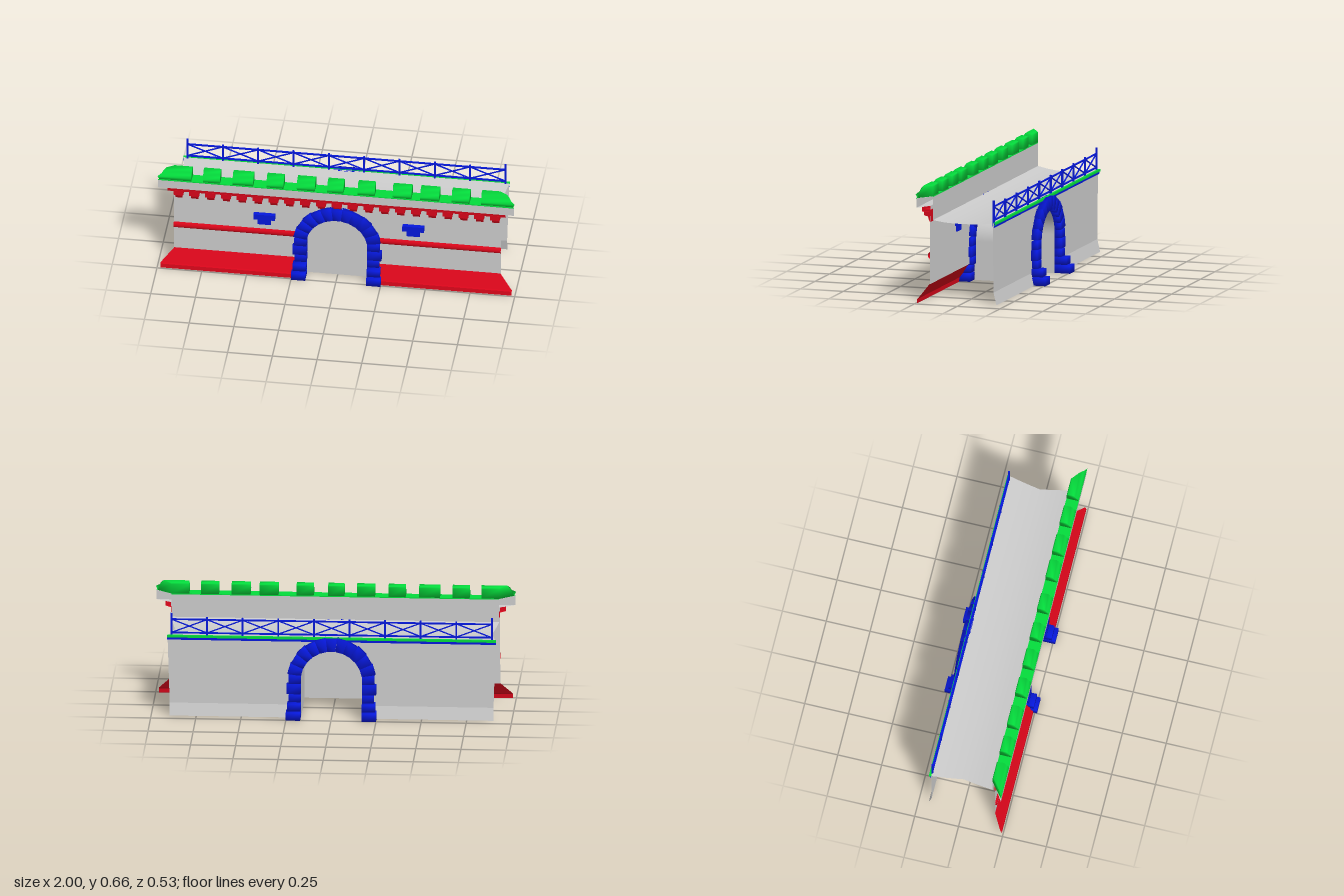
import * as THREE from 'three';
import { mergeVertices } from 'three/addons/utils/BufferGeometryUtils.js';

const mat = (color) => new THREE.MeshStandardMaterial({ color, side: THREE.DoubleSide });
const GREY = mat(0xcccccc), RED = mat(0xd8061a), BLUE = mat(0x0618dc), GREEN = mat(0x04dc3c);

// Half length of the wall at depth z: both ends are mitred
const endX = (z) => (z > 0.187 ? 0.915 + (z - 0.187) * 1.5 : 0.88 + Math.abs(z) * 0.17);
const ARCH_Y = 0.218;

// Shared normals across all edges give blocks a cushioned look
const soften = (geometry) => {
  geometry.deleteAttribute('normal');
  geometry.deleteAttribute('uv');
  const g = mergeVertices(geometry);
  g.computeVertexNormals();
  return g;
};

export function createModel() {
  const model = new THREE.Group();

  const add = (name, geometry, material, parent = model) => {
    const mesh = new THREE.Mesh(geometry, material);
    mesh.name = name;
    parent.add(mesh);
    return mesh;
  };

  const box = (name, material, x0, x1, y0, y1, z0, z1) => {
    const mesh = add(name, new THREE.BoxGeometry(x1 - x0, y1 - y0, z1 - z0), material);
    mesh.position.set((x0 + x1) / 2, (y0 + y1) / 2, (z0 + z1) / 2);
  };

  // Open surface through rows of [x, y, z] points
  const sheet = (name, material, rows, smooth = false) => {
    const n = rows[0].length, index = [];
    for (let i = 0; i < rows.length - 1; i++) {
      for (let j = 0; j < n - 1; j++) {
        const a = i * n + j, b = a + n;
        index.push(a, b, a + 1, b, b + 1, a + 1);
      }
    }
    let g = new THREE.BufferGeometry();
    g.setAttribute('position', new THREE.Float32BufferAttribute(rows.flat(2), 3));
    g.setIndex(index);
    if (!smooth) g = g.toNonIndexed();
    g.computeVertexNormals();
    add(name, g, material);
  };

  // Moulding from a [z, y] profile along x to the mitred ends, no longer than limit
  const fullRun = (name, material, profile, limit = 1, smooth = false) =>
    sheet(name, material, profile.map(([z, y]) => {
      const e = Math.min(endX(z), limit);
      return [[-e, y, z], [e, y, z]];
    }), smooth);
  // The same, interrupted by the gate
  const splitRun = (name, material, profile, limit = 1, smooth = false) => {
    for (const s of [-1, 1]) {
      sheet(name, material, profile.map(([z, y]) =>
        [[s * 0.2, y, z], [s * Math.min(endX(z), limit), y, z]]), smooth);
    }
  };

  // Arched outline, used for the tunnel and the doors
  const archPath = (path, r, y0) => {
    path.lineTo(r, y0);
    path.lineTo(r, ARCH_Y);
    path.absarc(0, ARCH_Y, r, 0, Math.PI, false);
    path.lineTo(-r, y0);
    return path;
  };
  const wall = (name, z, y0, y1, bottomX) => {
    const e = endX(z), shape = new THREE.Shape();
    shape.moveTo(bottomX, y0);
    shape.lineTo(e, y1);
    shape.lineTo(-e, y1);
    shape.lineTo(-bottomX, y0);
    shape.lineTo(-0.18, y0);
    shape.lineTo(-0.18, ARCH_Y);
    shape.absarc(0, ARCH_Y, 0.18, Math.PI, 0, true);
    shape.lineTo(0.18, y0);
    add(name, new THREE.ShapeGeometry(shape, 24), GREY).position.z = z;
  };

  // Walls, flared feet and walkway
  wall('frontWall', 0.187, 0.1, 0.54, 0.915);
  wall('backWall', -0.178, 0.07, 0.46, 0.898);
  splitRun('frontPlinth', RED, [[0.187, 0.105], [0.234, 0.03], [0.24, 0.024], [0.242, 0]], 0.982);
  splitRun('backFoot', GREY, [[-0.178, 0.07], [-0.195, 0]], 0.898);
  fullRun('walkway', GREY, [[0.172, 0.46], [0.11, 0.449], [0.05, 0.444], [0, 0.443],
    [-0.06, 0.445], [-0.12, 0.451], [-0.178, 0.46]], 1, true);

  // Tunnel lining
  const outline = archPath(new THREE.Path().moveTo(0.17, 0), 0.17, 0).getPoints(24);
  sheet('tunnel', GREY, [0.175, -0.175].map((z) => outline.map((p) => [p.x, p.y, z])), true);

  // String course beside the gate
  const half = Array.from({ length: 9 }, (_, i) => {
    const a = Math.PI * (i / 8 - 0.5);
    return [0.187 + 0.013 * Math.cos(a), 0.262 + 0.018 * Math.sin(a)];
  });
  splitRun('stringCourse', RED, half, 0.915, true);

  // Parapet with a green coping
  fullRun('parapet', GREY, [[0.172, 0.46], [0.172, 0.593], [0.24, 0.593], [0.24, 0.54], [0.187, 0.54]]);
  fullRun('coping', GREEN, [[0.171, 0.59], [0.171, 0.595], [0.241, 0.595], [0.241, 0.59]]);

  // Solid made from a [z, y] profile, extruded from x0 to x1
  const solid = (profile, x0, x1) => {
    const shape = new THREE.Shape(profile.map(([z, y]) => new THREE.Vector2(-z, y)));
    const g = new THREE.ExtrudeGeometry(shape, { depth: x1 - x0, bevelEnabled: false });
    return g.rotateY(Math.PI / 2).translate(x0, 0, 0);
  };

  // Merlons; the outermost ones follow the mitre
  const merlonProfile = [[0.172, 0.594], [0.236, 0.594], [0.243, 0.617], [0.228, 0.63],
    [0.222, 0.646], [0.212, 0.66], [0.178, 0.655], [0.172, 0.648]];
  const merlons = [[-0.05, 0.04], [0.12, 0.215], [0.315, 0.42], [0.47, 0.575], [0.645, 0.745], [0.81, 1],
    [-0.22, -0.12], [-0.39, -0.295], [-0.58, -0.465], [-0.745, -0.65], [-1, -0.81]];
  for (const [x0, x1] of merlons) {
    const g = solid(merlonProfile, x0, x1), p = g.attributes.position;
    for (let i = 0; i < p.count; i++) {
      if (Math.abs(p.getX(i)) > 0.95) p.setX(i, Math.sign(p.getX(i)) * endX(p.getZ(i)));
    }
    add('merlon', soften(g), GREEN);
  }

  // Corbel table under the parapet: wide heads on narrower feet
  fullRun('corbelBand', RED, [[0.187, 0.51], [0.222, 0.51], [0.226, 0.54]], 0.945);
  const headProfile = [[0.183, 0.518], [0.183, 0.485], [0.206, 0.48], [0.225, 0.487], [0.225, 0.518]];
  const footProfile = [[0.183, 0.49], [0.183, 0.45], [0.19, 0.447], [0.199, 0.464], [0.205, 0.49]];
  for (let i = 0; i < 21; i++) {
    const x = (i - 10) * 0.0885;
    add('corbelHead', solid(headProfile, x - 0.027, x + 0.027), RED);
    add('corbelFoot', solid(footProfile, x - 0.02, x + 0.02), RED);
  }

  // Wall brackets
  for (const x of [-0.407, 0.426]) {
    box('bracketTop', BLUE, x - 0.06, x + 0.06, 0.355, 0.388, 0.18, 0.212);
    box('bracketFoot', BLUE, x - 0.037, x + 0.037, 0.32, 0.355, 0.18, 0.206);
  }

  // Stone surrounds of both gate openings
  const blocks = [ // bottom, top, outer z, outer x
    [0.002, 0.046, 0.263, 0.25], [0.05, 0.091, 0.243, 0.244], [0.094, 0.137, 0.213, 0.236],
    [0.14, 0.198, 0.213, 0.248], [0.2, 0.248, 0.213, 0.238],
  ];
  const surround = (name, footZ) => {
    const group = new THREE.Group();
    group.name = name;
    for (const s of [-1, 1]) {
      blocks.forEach(([y0, y1, z1, xo], i) => {
        const z0 = i < 2 ? footZ : 0.169;
        const g = soften(new THREE.BoxGeometry(xo - 0.17, y1 - y0, z1 - z0));
        add('pillarStone', g, BLUE, group).position.set(s * (xo + 0.17) / 2, (y0 + y1) / 2, (z0 + z1) / 2);
      });
    }
    const count = 11, step = (162 / count) * Math.PI / 180;
    for (let i = 0; i < count; i++) {
      const a = 9 * Math.PI / 180 + (i + 0.5) * step;
      const width = i % 2 ? 0.071 : 0.075, r = 0.17 + width / 2;
      const g = new THREE.BoxGeometry(width, r * step * 0.98, 0.044), p = g.attributes.position;
      for (let k = 0; k < p.count; k++) p.setY(k, p.getY(k) * (1 + p.getX(k) / r));
      const stone = add('archStone', soften(g), BLUE, group);
      stone.position.set(r * Math.cos(a), ARCH_Y + r * Math.sin(a), 0.191);
      stone.rotation.z = a;
    }
    model.add(group);
    return group;
  };
  surround('frontSurround', 0.18);
  surround('backSurround', 0.169).rotation.y = Math.PI;

  // Double door closing the front of the tunnel
  const doorShape = archPath(new THREE.Shape().moveTo(-0.172, 0.003), 0.172, 0.003);
  add('door', new THREE.ShapeGeometry(doorShape, 24), GREY).position.z = 0.176;
  box('doorSeam', GREY, -0.003, 0.003, 0.003, 0.388, 0.172, 0.18);

  // Railing on the back wall
  const zr = -0.176, bay = 0.1975, first = -4.5 * bay, y0 = 0.475, y1 = 0.552;
  const bar = (name, xa, ya, xb, yb, t) => {
    const mesh = add(name, new THREE.BoxGeometry(Math.hypot(xb - xa, yb - ya), t, t), BLUE);
    mesh.position.set((xa + xb) / 2, (ya + yb) / 2, zr);
    mesh.rotation.z = Math.atan2(yb - ya, xb - xa);
  };
  for (let i = 0; i < 10; i++) {
    const x = first + i * bay, end = i === 0 || i === 9;
    bar('railingPost', x, 0.44, x, end ? 0.587 : 0.565, 0.01);
    if (i === 9) break;
    bar('railingBrace', x, y0, x + bay, y1, 0.006);
    bar('railingBrace', x, y1, x + bay, y0, 0.006);
  }
  bar('topRail', first, y1, -first, y1, 0.008);
  bar('bottomRail', first, y0, -first, y0, 0.008);

  // Edge trim along the top of the back wall
  fullRun('edgeTrim', GREEN, [[-0.178, 0.463], [-0.191, 0.463], [-0.191, 0.45], [-0.178, 0.45]]);
  fullRun('edgeTrimLower', BLUE, [[-0.185, 0.45], [-0.185, 0.436], [-0.178, 0.436]]);

  return model;
}
